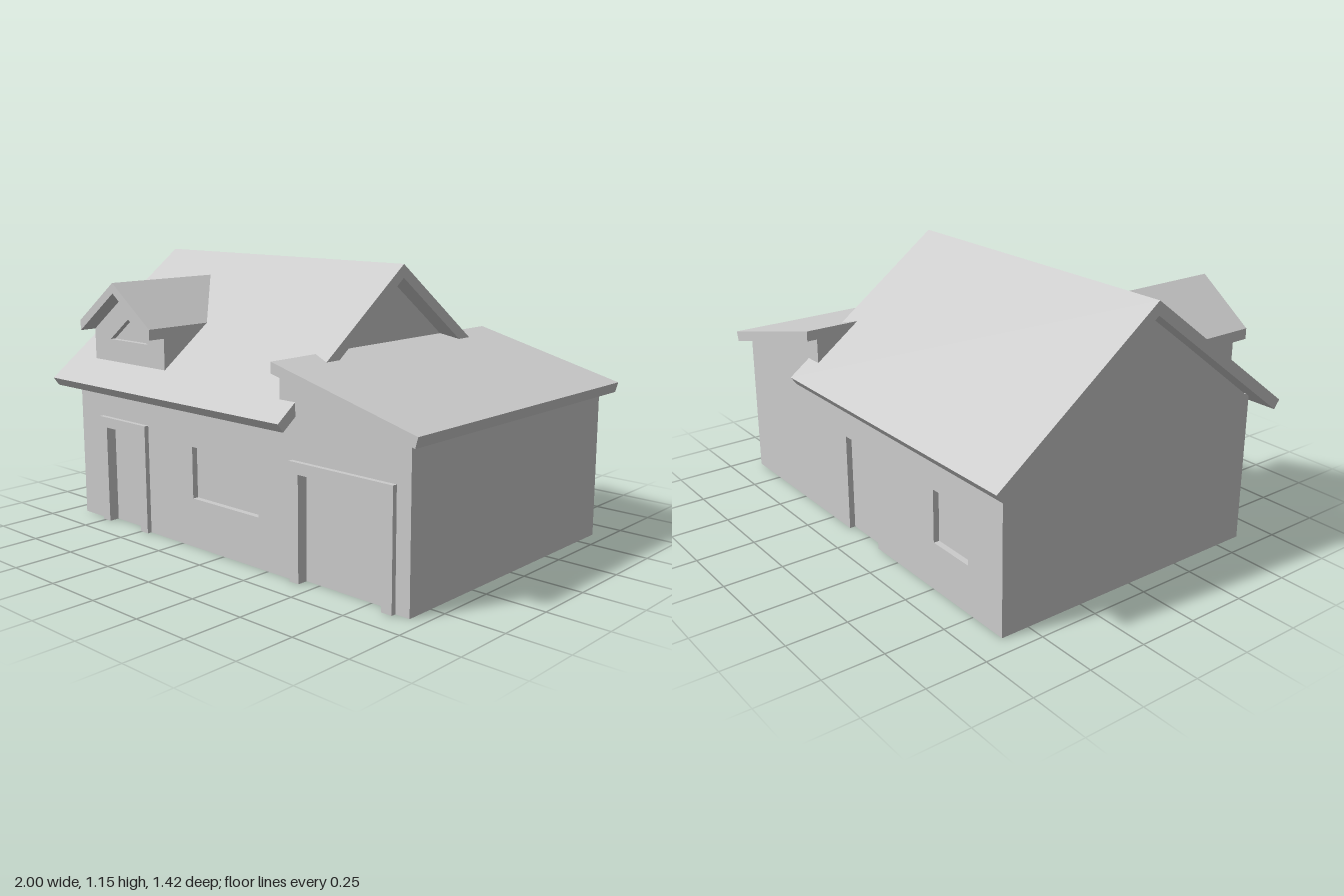
import * as THREE from 'three';

const material = new THREE.MeshStandardMaterial({ color: 0xcccccc, flatShading: true });

const path = (points, Type = THREE.Shape) => new Type(points.map(([x, y]) => new THREE.Vector2(x, y)));

// Prism with an (x, y) outline between two z values
function prismZ(name, points, z0, z1, holes = []) {
  const shape = path(points);
  shape.holes = holes.map((hole) => path(hole, THREE.Path));
  const geometry = new THREE.ExtrudeGeometry(shape, { depth: z1 - z0, bevelEnabled: false });
  geometry.translate(0, 0, z0);
  const mesh = new THREE.Mesh(geometry, material);
  mesh.name = name;
  return mesh;
}

// Prism with a (-z, y) outline between two x values
function prismX(name, points, x0, x1) {
  const mesh = prismZ(name, points, x0, x1);
  mesh.geometry.rotateY(Math.PI / 2);
  return mesh;
}

const rect = (x0, x1, y0, y1) => [[x0, y0], [x1, y0], [x1, y1], [x0, y1]];

// Outline points that cut a doorway up from the ground
const doorway = ([x0, x1], top) => [[x0, 0], [x0, top], [x1, top], [x1, 0]];

const LEFT = -0.92, RIGHT = 0.94, JOIN = 0.32;
const WALL = 0.62, RECESS = 0.595, OPENING = 0.42;

// Outer wall layer with doorways and one window
function wallLayer(name, doors, window, z0, z1) {
  return prismZ(name, [
    [LEFT, 0], ...doors.flatMap((door) => doorway(door, OPENING)),
    [RIGHT, 0], [RIGHT, 0.63], [JOIN, 0.79], [JOIN, 0.64], [LEFT, 0.64],
  ], z0, z1, [window]);
}

export function createModel() {
  const house = new THREE.Group();
  house.name = 'house';

  // Solid cores; their faces form the recessed doors and windows
  house.add(
    prismX('mainBody', [[-RECESS, 0], [RECESS, 0], [RECESS, 0.642], [0, 1.095], [-RECESS, 0.642]], LEFT, JOIN),
    prismZ('sideWing', [[JOIN, 0], [RIGHT, 0], [RIGHT, 0.63], [JOIN, 0.79]], -RECESS, RECESS),
  );

  // Front and back walls
  const frontDoors = [[-0.72, -0.505], [0.43, 0.83]];
  house.add(
    wallLayer('frontWall', frontDoors, rect(-0.18, 0.2, 0.205, OPENING), RECESS, WALL),
    wallLayer('backWall', [[-0.105, 0.118]], rect(-0.72, -0.505, 0.2, OPENING), -WALL, -RECESS),
  );

  // Raised frames round the front doors
  const frame = 0.047;
  frontDoors.forEach(([x0, x1], i) => house.add(prismZ(
    i ? 'garageDoorFrame' : 'frontDoorFrame',
    [[x0 - frame, 0], ...doorway([x0, x1], OPENING),
      [x1 + frame, 0], [x1 + frame, 0.465], [x0 - frame, 0.465]],
    WALL, 0.64,
  )));

  // Gabled main roof and sloping wing roof
  house.add(
    prismX('mainRoof', [[-0.71, 0.615], [-0.684, 0.58], [0, 1.092], [0.684, 0.58], [0.71, 0.615], [0, 1.147]], -1, 0.4),
    prismZ('wingRoof', [[JOIN, 0.785], [0.988, 0.614], [1, 0.656], [JOIN, 0.828]], -0.665, 0.665),
  );

  // Dormer with a recessed triangular window
  const dormer = new THREE.Group();
  dormer.name = 'dormer';
  dormer.position.x = -0.61;
  const w = 0.234;
  const gable = [[-w, 0.67], [w, 0.67], [w, 0.838], [0, 1.013], [-w, 0.838]];
  dormer.add(
    prismZ('dormerBody', gable, 0.2, 0.565),
    prismZ('dormerFront', gable, 0.565, 0.59, [[[-0.125, 0.8], [0.125, 0.8], [0, 0.895]]]),
    prismZ('dormerRoof', [[-w, 0.88], [-w, 0.836], [0, 1.01], [w, 0.836], [w, 0.88], [0, 1.054]], 0.1, 0.665),
  );
  house.add(dormer);
  return house;
}
